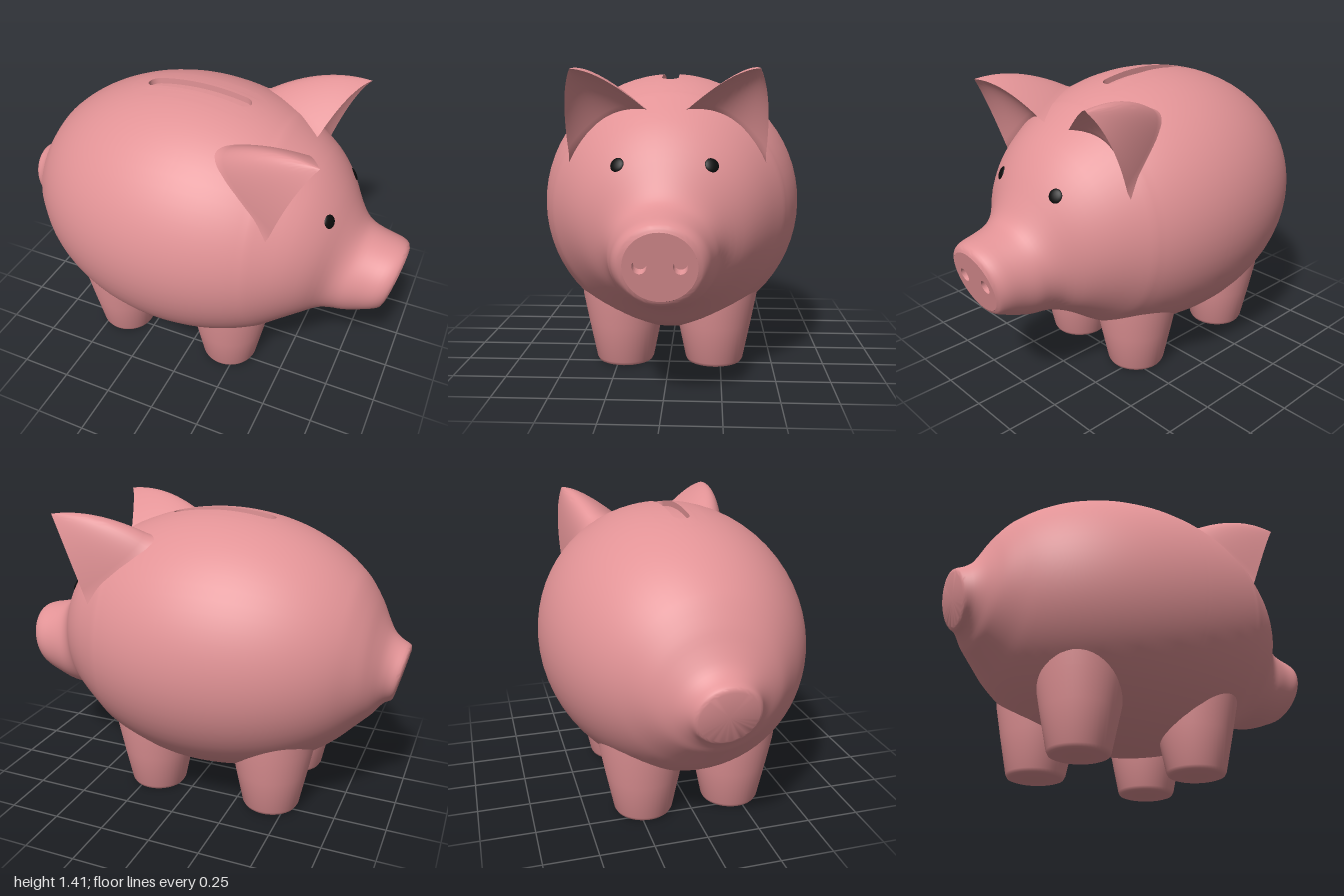
import * as THREE from 'three';
import { toCreasedNormals } from 'three/addons/utils/BufferGeometryUtils.js';

const pink = new THREE.MeshStandardMaterial({ color: 0xe29396 });
const black = new THREE.MeshStandardMaterial({ color: 0x0c0c0c });
const V = (x, y, z) => new THREE.Vector3(x, y, z);

// Body ellipsoid: centre (CX, CY), half length RX, radius R
const CX = -0.08, CY = 0.77, RX = 0.84, R = 0.64;
const radiusAt = x => R * Math.sqrt(1 - ((x - CX) / RX) ** 2);

// Skin between rings of points; skip(i, j) leaves out a quad
function loft(rings, crease = 0.7, skip = () => false) {
  const n = rings[0].length, index = [];
  for (let i = 0; i < rings.length - 1; i++) {
    for (let j = 0; j < n; j++) {
      if (skip(i, j)) continue;
      const a = i * n + j, b = i * n + (j + 1) % n;
      index.push(a, b, a + n, b, b + n, a + n);
    }
  }
  const geo = new THREE.BufferGeometry().setFromPoints(rings.flat());
  geo.setIndex(index);
  return toCreasedNormals(geo, crease);
}

function add(parent, name, geo, material = pink) {
  const mesh = new THREE.Mesh(geo, material);
  mesh.name = name;
  parent.add(mesh);
  return mesh;
}

// Slot outline, widened by grow
const SLOT_X = -0.07;
function slotLoop(grow) {
  const s = new THREE.Shape(), r = 0.04 + grow;
  s.absarc(0.22, 0, r, -Math.PI / 2, Math.PI / 2, false);
  s.absarc(-0.22, 0, r, Math.PI / 2, Math.PI * 1.5, false);
  s.closePath();
  return s.getSpacedPoints(96).slice(0, 96);
}

function bodyGeometry() {
  // Sections: top x, top y, bottom x, bottom y, half width
  const tail = [
    [-1, 0.82, -0.945, 0.585, 0.13], [-0.993, 0.842, -0.935, 0.57, 0.145],
    [-0.95, 0.865, -0.91, 0.556, 0.165], [-0.91, 0.9, -0.885, 0.53, 0.2],
    [-0.87, 0.968, -0.86, 0.495, 0.25], [-0.83, 1.047, -0.83, 0.465, 0.3]];
  const snout = [
    [0.56, 1.185, 0.47, 0.295, 0.45], [0.66, 1.07, 0.55, 0.345, 0.37],
    [0.73, 0.95, 0.62, 0.375, 0.28], [0.77, 0.885, 0.68, 0.39, 0.245],
    [0.81, 0.848, 0.75, 0.4, 0.23], [0.88, 0.826, 0.81, 0.418, 0.212],
    [0.95, 0.81, 0.875, 0.445, 0.197], [0.985, 0.793, 0.912, 0.462, 0.175],
    [0.995, 0.77, 0.925, 0.48, 0.15]];
  const middle = [];
  for (let i = 0; i <= 24; i++) {
    const x = -0.77 + i * 1.17 / 24, r = radiusAt(x);
    middle.push([x, CY + r, x, CY - r, r]);
  }
  const keys = [...tail, ...middle, ...snout];
  const spline = f => new THREE.CatmullRomCurve3(keys.map(f), false, 'catmullrom', 0.5)
    .getPoints((keys.length - 1) * 3);
  const tops = spline(k => V(k[0], k[1], k[4]));
  const bottoms = spline(k => V(k[2], k[3], k[4]));
  const N = 64;
  const rings = tops.map((t, i) => Array.from({ length: N }, (_, j) => {
    const a = j / N * Math.PI * 2, k = (1 + Math.cos(a)) / 2, b = bottoms[i];
    return V(b.x + (t.x - b.x) * k, b.y + (t.y - b.y) * k, t.z * Math.sin(a));
  }));
  // Close the tail end
  const centre = tops[0].clone().add(bottoms[0]).multiplyScalar(0.5).setZ(0);
  rings.unshift(rings[0].map(() => centre.clone()));
  const inSlot = i => Math.abs(rings[i][0].x - SLOT_X) < 0.29;
  return loft(rings, 0.7, (i, j) => (j === 0 || j === N - 1) && inSlot(i) && inSlot(i + 1));
}

// Surface round the coin slot, its walls and its floor
function slotGeometry() {
  const ring = (grow, depth, squash = 1) => slotLoop(grow).map(p => {
    const x = SLOT_X + p.x, z = -p.y * squash;
    return V(x, CY + Math.sqrt(radiusAt(x) ** 2 - z * z) - depth, z);
  }).reverse();
  const rings = [ring(0.08, 0), ring(0.05, 0), ring(0.02, 0), ring(0, 0),
    ring(0, 0.028), ring(0, 0.028, 0)];
  rings.forEach(r => r.reverse());
  return loft(rings);
}

// Pointed ear: rounded back, hollow front, drawn from a base on the head to a tip
function earGeometry(side) {
  const A = V(0.49, 1.24, 0.1), B = V(0.46, 1.03, 0.44), tip = V(0.638, 1.402, 0.4);
  const through = (p, mid, q) => new THREE.QuadraticBezierCurve3(p,
    mid.clone().multiplyScalar(2).addScaledVector(p, -0.5).addScaledVector(q, -0.5), q);
  const back = through(A, V(0.17, 1.3, 0.32), B).getPoints(24);
  const front = through(B, V(0.42, 1.19, 0.28), A).getPoints(16).slice(1, -1);
  const base = [...back, ...front];
  const rings = [];
  for (let i = -2; i <= 16; i++) {
    const s = i / 16, bulge = s > 0 ? 4 * s * (1 - s) : 0;
    const ring = base.map(p => {
      const q = p.clone().lerp(tip, s);
      q.y += 0.04 * bulge;
      q.z += 0.02 * bulge;
      q.z *= side;
      return q;
    });
    rings.push(side > 0 ? ring : ring.reverse());
  }
  return loft(rings, 0.9);
}

export function createModel() {
  const pig = new THREE.Group();
  pig.name = 'piggyBank';
  add(pig, 'body', bodyGeometry());
  add(pig, 'coinSlot', slotGeometry());

  // Flat snout end with two sunken nostrils
  const snout = new THREE.Group();
  snout.name = 'snoutEnd';
  snout.position.set(0.96, 0.625, 0);
  snout.rotation.z = -0.237;
  const disc = new THREE.Shape().absellipse(0, 0, 0.15, 0.149, 0, Math.PI * 2);
  for (const s of [-1, 1]) {
    disc.holes.push(new THREE.Path().absellipse(s * 0.081, 0.005, 0.029, 0.033, 0, Math.PI * 2, true));
  }
  const plate = new THREE.ExtrudeGeometry(disc, { depth: 0.05, bevelEnabled: false, curveSegments: 32 });
  add(snout, 'snoutPlate', plate.translate(0, 0, -0.05).rotateY(Math.PI / 2));
  add(snout, 'nostrilFloor', new THREE.CircleGeometry(0.13, 32).translate(0, 0, -0.045).rotateY(Math.PI / 2));
  pig.add(snout);

  // Tapered leg with a rounded foot edge
  const legProfile = [[0, 0], [0.12, 0], [0.133, 0.005], [0.141, 0.02], [0.178, 0.2], [0.205, 0.34], [0.22, 0.48], [0, 0.5]]
    .map(p => new THREE.Vector2(...p));
  const leg = toCreasedNormals(new THREE.LatheGeometry(legProfile, 48), 0.9);

  for (const side of [1, -1]) {
    const label = side > 0 ? 'left' : 'right';
    add(pig, label + 'Ear', earGeometry(side));
    add(pig, label + 'FrontLeg', leg).position.set(0.2, 0, side * 0.22);
    add(pig, label + 'BackLeg', leg).position.set(-0.417, 0, side * 0.22);
    const eye = add(pig, label + 'Eye', new THREE.SphereGeometry(0.033, 24, 16).scale(1, 1, 0.35), black);
    eye.position.set(0.653, 1, side * 0.2);
    eye.lookAt(0.653 + 1.035, 1.56, side * 0.69);
  }
  return pig;
}
